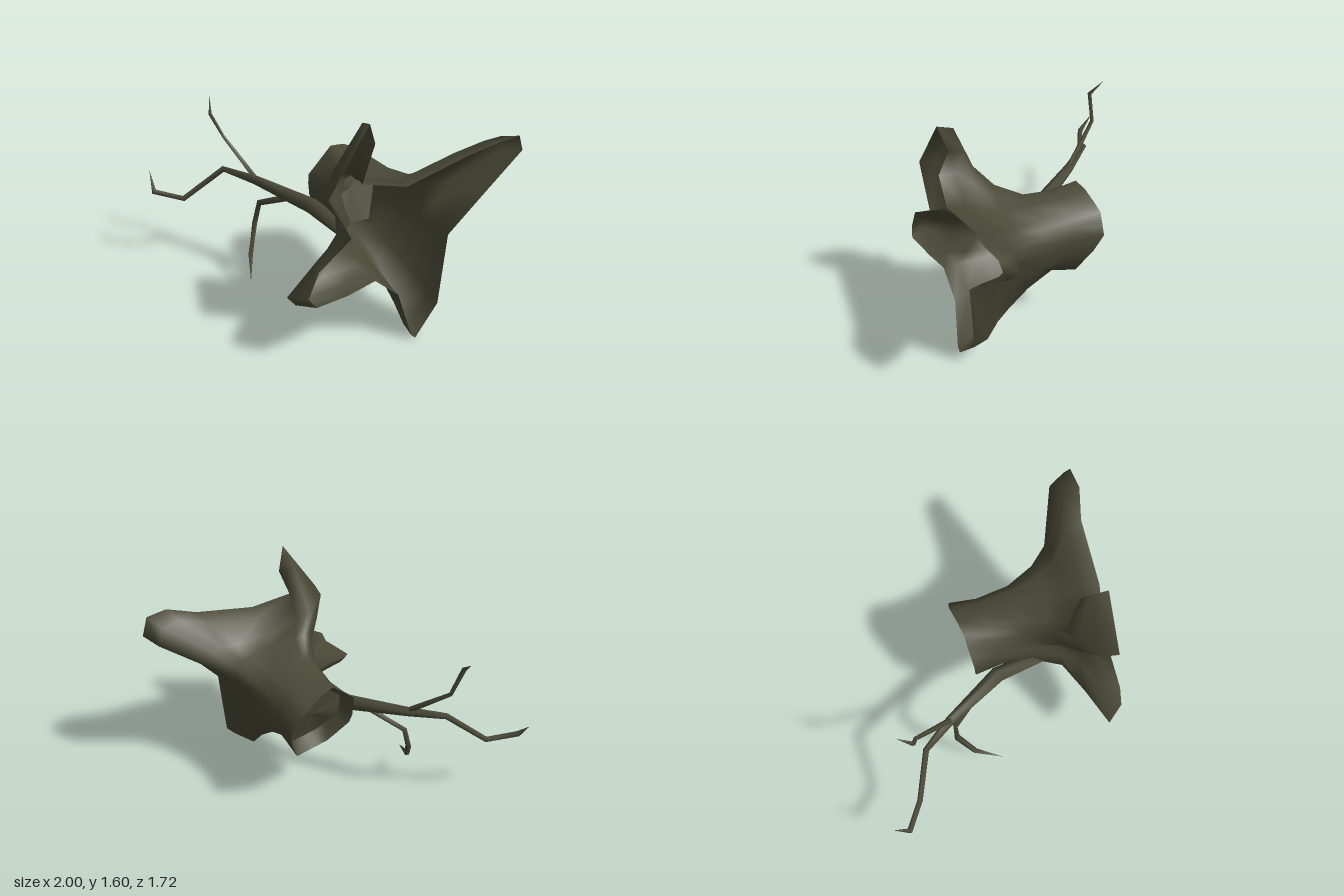
import * as THREE from 'three';

const bark = new THREE.MeshStandardMaterial({ color: 0x4b4a38, side: THREE.DoubleSide });
bark.name = 'dark bark';
const { lerp, degToRad } = THREE.MathUtils;

// Skin a list of equal-length closed rings of Vector3
function loft(rings, name) {
  const n = rings[0].length, index = [];
  for (let i = 0; i < rings.length - 1; i++) {
    for (let j = 0; j < n; j++) {
      const a = i * n + j, b = i * n + (j + 1) % n;
      index.push(a, a + n, b, b, a + n, b + n);
    }
  }
  const geometry = new THREE.BufferGeometry().setFromPoints(rings.flat());
  geometry.setIndex(index);
  geometry.computeVertexNormals();
  const mesh = new THREE.Mesh(geometry, bark);
  mesh.name = name;
  return mesh;
}

// How much root flare remains at each level
const sharp = [1, 0.9, 0.34, 0.17, 0.03, 0, 0];
const soft = [1, 0.94, 0.66, 0.47, 0.2, 0.04, 0];
const hooked = [0.82, 1, 0.55, 0.17, 0.02, 0, 0];
const bent = [1, 0.94, 0.9, 0.4, 0.04, 0, 0];

// Distance back along the trunk at each level, and its girth there
const along = [0, 0.12, 0.24, 0.36, 0.56, 0.8, 1];
const girth = [1, 1, 1, 1, 1, 0.94, 1];

// Root rim: x, y, z, the trunk angle (degrees) each point runs back to, flare,
// and for the bent upper root the elbow it passes through
const rim = [
  [1, 1.22, 0.8, 22, sharp], [0.95, 1.34, 0.82, 32, sharp], [0.8, 1.34, 0.84, 42, sharp],
  [0.6, 1.27, 0.8, 55, sharp], [0.17, 1.16, 0.81, 82, sharp],
  [-0.1, 1.21, 0.75, 108, bent, [-0.05, 1.13]], [0, 1.44, 0.71, 118, bent, [-0.13, 1.22]],
  [-0.06, 1.6, 0.75, 130, bent, [-0.22, 1.25]], [-0.34, 1.18, 0.79, 145, bent, [-0.24, 1.08]],
  [-0.19, 0.88, 0.8, 158, sharp], [-0.42, 0.72, 0.83, 172, sharp],
  [-0.59, 0.52, 0.84, 190, hooked], [-0.54, 0.46, 0.86, 205, hooked],
  [-0.22, 0.48, 0.82, 218, sharp], [-0.02, 0.52, 0.8, 230, soft], [0.15, 0.36, 0.8, 248, soft],
  [0.24, 0.03, 0.84, 262, soft], [0.27, 0, 0.84, 272, soft], [0.45, 0.2, 0.8, 295, soft],
  [0.48, 0.74, 0.82, 340, soft], [0.73, 1, 0.83, 370, sharp],
];

// Corners of the broken end: angle (degrees), x, y, z
const corners = [
  [5, 0.46, 0.76, -0.15], [44, 0.36, 0.91, -0.17], [101, 0.13, 1.03, -0.13],
  [160, -0.08, 0.83, -0.1], [200, -0.07, 0.64, -0.09], [247, 0.07, 0.46, 0],
  [296, 0.33, 0.44, -0.01], [365, 0.46, 0.76, -0.15],
];
function brokenEdge(deg) {
  const i = corners.findIndex((c) => c[0] > deg);
  const [a0, ...p] = corners[i - 1], [a1, ...q] = corners[i];
  return new THREE.Vector3(...p).lerp(new THREE.Vector3(...q), (deg - a0) / (a1 - a0));
}

function trunkRing(t, level) {
  return rim.map(([x, y, z, deg, flare, elbow]) => {
    const edge = brokenEdge(deg < 365 ? deg : deg - 360);
    if (t === 1) return edge;
    const a = degToRad(deg);
    const tx = 0.19 + 0.25 * girth[level] * Math.cos(a);
    const ty = 0.735 + 0.282 * girth[level] * Math.sin(a);
    const [px, py] = elbow && level > 1 ? elbow : [x, y];
    return new THREE.Vector3(
      lerp(tx, px, flare[level]), lerp(ty, py, flare[level]), lerp(z, edge.z, t));
  });
}

// Tapering polyline branch; points are [x, y, z, radius]
function branch(points, name, sides = 5) {
  const p = points.map(([x, y, z]) => new THREE.Vector3(x, y, z));
  const rings = p.map((c, i) => {
    const d = p[Math.min(i + 1, p.length - 1)].clone().sub(p[Math.max(i - 1, 0)]).normalize();
    const u = new THREE.Vector3(1, 0, -0.6).cross(d).normalize();
    const w = d.clone().cross(u);
    return Array.from({ length: sides }, (_, j) => {
      const a = -j / sides * Math.PI * 2;
      return c.clone()
        .addScaledVector(u, points[i][3] * Math.cos(a))
        .addScaledVector(w, points[i][3] * Math.sin(a));
    });
  });
  return loft(rings, name);
}

export function createModel() {
  const model = new THREE.Group();
  model.name = 'fallenStump';

  // Hollow trunk flaring into roots
  const rings = along.map(trunkRing);
  model.add(loft(rings, 'trunkAndRoots'));

  // Sunken broken end
  const end = rings[rings.length - 1];
  const floor = end.map((v) => new THREE.Vector3(
    0.18 + (v.x - 0.18) * 0.82, 0.73 + (v.y - 0.73) * 0.82, v.z + 0.1));
  model.add(loft([end, floor], 'brokenEndWall'));
  model.add(loft([floor, floor.map(() => new THREE.Vector3(0.18, 0.73, 0.02))], 'brokenEndFloor'));

  // Side branch with two twigs
  model.add(branch([
    [-0.05, 0.67, 0.38, 0.05], [-0.12, 0.69, 0.05, 0.058], [-0.37, 0.745, -0.34, 0.034],
    [-0.53, 0.765, -0.54, 0.022], [-0.8, 0.525, -0.66, 0.02], [-0.985, 0.57, -0.77, 0.02],
    [-0.98, 0.69, -0.86, 0.001],
  ], 'mainBranch'));
  model.add(branch([
    [-0.36, 0.74, -0.32, 0.022], [-0.5, 0.99, -0.59, 0.014],
    [-0.58, 1.17, -0.61, 0.016], [-0.55, 1.26, -0.7, 0.001],
  ], 'upperTwig', 4));
  model.add(branch([
    [-0.2, 0.69, -0.1, 0.025], [-0.36, 0.57, -0.31, 0.022], [-0.4, 0.41, -0.31, 0.022],
    [-0.48, 0.23, -0.2, 0.02], [-0.55, 0.15, -0.02, 0.001],
  ], 'lowerTwig', 4));

  return model;
}
